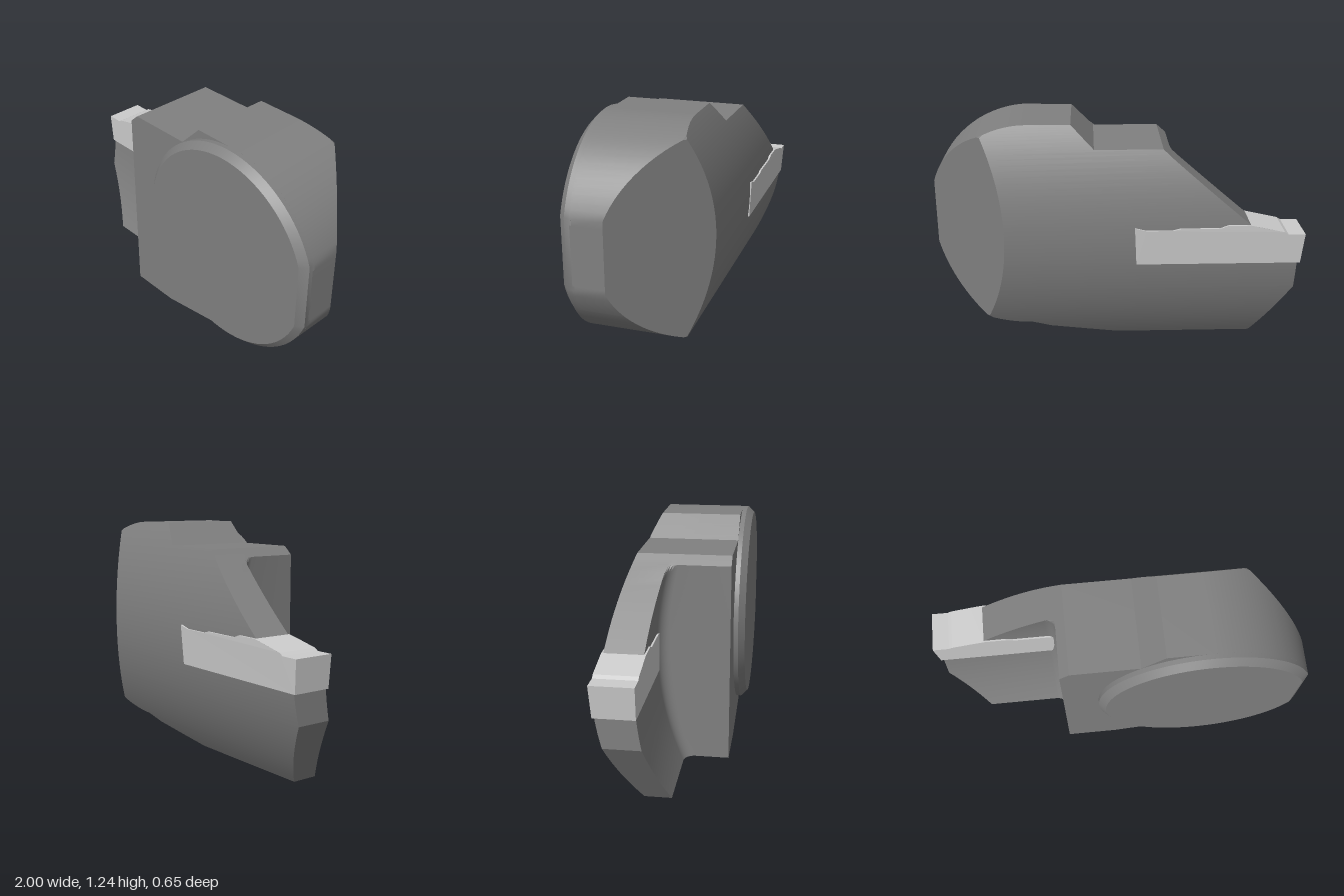
import * as THREE from 'three';
import { toCreasedNormals } from 'three/addons/utils/BufferGeometryUtils.js';

const CY = 0.67, CX = 0.46, R = 0.57;

// Piecewise linear lookup in [y, x] pairs
function lerpTable(table, y) {
  for (let i = 1; i < table.length; i++) {
    const [y0, x0] = table[i - 1], [y1, x1] = table[i];
    if (y <= y1) return x0 + (x1 - x0) * (y - y0) / (y1 - y0);
  }
  return table[table.length - 1][1];
}

// Skin stacked rings (counter-clockwise about dir) and close both ends
function loft(rings, dir, flatten, crease) {
  const pos = [], n = rings[0].length;
  const ab = new THREE.Vector3(), ac = new THREE.Vector3();
  const tri = (a, b, c, facing) => {
    ab.subVectors(b, a);
    ac.subVectors(c, a);
    ab.cross(ac);
    if (ab.length() < 1e-8) return;
    if (facing && ab.dot(facing) < 0) [b, c] = [c, b];
    for (const p of [a, b, c]) pos.push(p.x, p.y, p.z);
  };
  for (let i = 0; i + 1 < rings.length; i++) {
    for (let j = 0; j < n; j++) {
      const k = (j + 1) % n, lo = rings[i], hi = rings[i + 1];
      tri(lo[j], lo[k], hi[k]);
      tri(lo[j], hi[k], hi[j]);
    }
  }
  const cap = (ring, facing) => {
    for (const [a, b, c] of THREE.ShapeUtils.triangulateShape(ring.map(flatten), []))
      tri(ring[a], ring[b], ring[c], facing);
  };
  cap(rings[0], dir.clone().negate());
  cap(rings[rings.length - 1], dir);
  const g = new THREE.BufferGeometry();
  g.setAttribute('position', new THREE.Float32BufferAttribute(pos, 3));
  return toCreasedNormals(g, crease);
}

// Silhouette of the holder: x against height
const leftEdge = [[0, -0.77], [0.35, -0.97], [0.51, -0.97], [0.511, -0.8],
  [0.73, -0.71], [1.075, -0.3], [1.12, -0.25], [1.121, 0.11], [1.24, 0.23]];
const lowRight = [[0, -0.02], [0.065, 0.36], [0.1, CX]];

function rightEdge(y) {
  if (y < 0.1) return lerpTable(lowRight, y);
  return Math.min(1, CX + Math.sqrt(Math.max(0, R * R - (y - CY) ** 2)));
}

// Depth of a surface arched about a horizontal axis
const arch = (y, z, r) => z + r - Math.sqrt(r * r - (y - CY) ** 2);

// Horizontal section of the holder: thin blade, fillet, thick head, back corner cut
function holderSection(y) {
  const xl = lerpTable(leftEdge, y), xr = rightEdge(y);
  const zb = arch(y, -0.316, 1.21), zf = arch(y, -0.115, 1.67);
  const ring = [];
  const add = (x, z) => ring.push(new THREE.Vector3(Math.max(x, xl), y, z));
  add(xl, zb);
  add(xl, zf);
  for (let i = 0; i <= 6; i++) {
    const a = i / 6 * Math.PI / 2;
    add(-0.36 + 0.06 * Math.sin(a), zf + 0.06 - 0.06 * Math.cos(a));
  }
  add(-0.3, 0.265);
  add(xr, 0.265);
  add(xr, Math.max(zb, xr - 0.9));
  add(Math.min(xr, zb + 0.9), zb);
  return ring;
}

// Round face outline with a flat on one side
function discRing(r, flat, z) {
  const ring = [];
  const a0 = Math.acos((flat - CX) / r), steps = 72;
  for (let i = 0; i <= steps; i++) {
    const a = a0 + (2 * Math.PI - 2 * a0) * i / steps;
    ring.push(new THREE.Vector3(CX + r * Math.cos(a), CY + r * Math.sin(a), z));
  }
  return ring;
}

export function createModel() {
  const group = new THREE.Group();
  const steel = new THREE.MeshStandardMaterial({ color: 0x808080 });
  const carbide = new THREE.MeshStandardMaterial({ color: 0xcccccc });
  const add = (name, geometry, material) => {
    const mesh = new THREE.Mesh(geometry, material);
    mesh.name = name;
    group.add(mesh);
  };

  // Holder body
  const levels = [0.03, ...leftEdge.map(p => p[0]), ...lowRight.map(p => p[0])];
  for (let i = 0; i <= 48; i++) levels.push(CY - R * Math.cos(Math.PI * i / 48));
  const ys = [...new Set(levels.map(v => +v.toFixed(4)))].sort((a, b) => a - b);
  add('holderBody', loft(ys.map(holderSection), new THREE.Vector3(0, 1, 0),
    p => new THREE.Vector2(p.x, -p.z), 0.4), steel);

  // Chamfered mounting disc on the front
  add('mountingDisc', loft([discRing(R, 1, 0.255), discRing(R, 1, 0.29), discRing(0.535, 0.965, 0.325)],
    new THREE.Vector3(0, 0, 1), p => new THREE.Vector2(p.x, p.y), 0.4), steel);

  // Cutting insert with chip-breaker profile
  const profile = [[-0.985, 0.51], [-0.11, 0.51], [-0.1, 0.72], [-0.16, 0.705], [-0.3, 0.705],
    [-0.34, 0.715], [-0.55, 0.715], [-0.59, 0.73], [-0.71, 0.73], [-0.78, 0.715],
    [-0.89, 0.69], [-0.91, 0.677], [-1, 0.677]];
  const insert = new THREE.ExtrudeGeometry(
    new THREE.Shape(profile.map(([x, y]) => new THREE.Vector2(x, y))),
    { depth: 0.22, bevelEnabled: false });
  insert.translate(0, 0, -0.325);
  // Lean the back face inward towards the bottom
  const p = insert.attributes.position;
  for (let i = 0; i < p.count; i++)
    if (p.getZ(i) < -0.2) p.setZ(i, -0.325 + Math.max(0, 0.7 - p.getY(i)) * 0.06);
  insert.computeVertexNormals();
  add('cuttingInsert', insert, carbide);

  return group;
}
